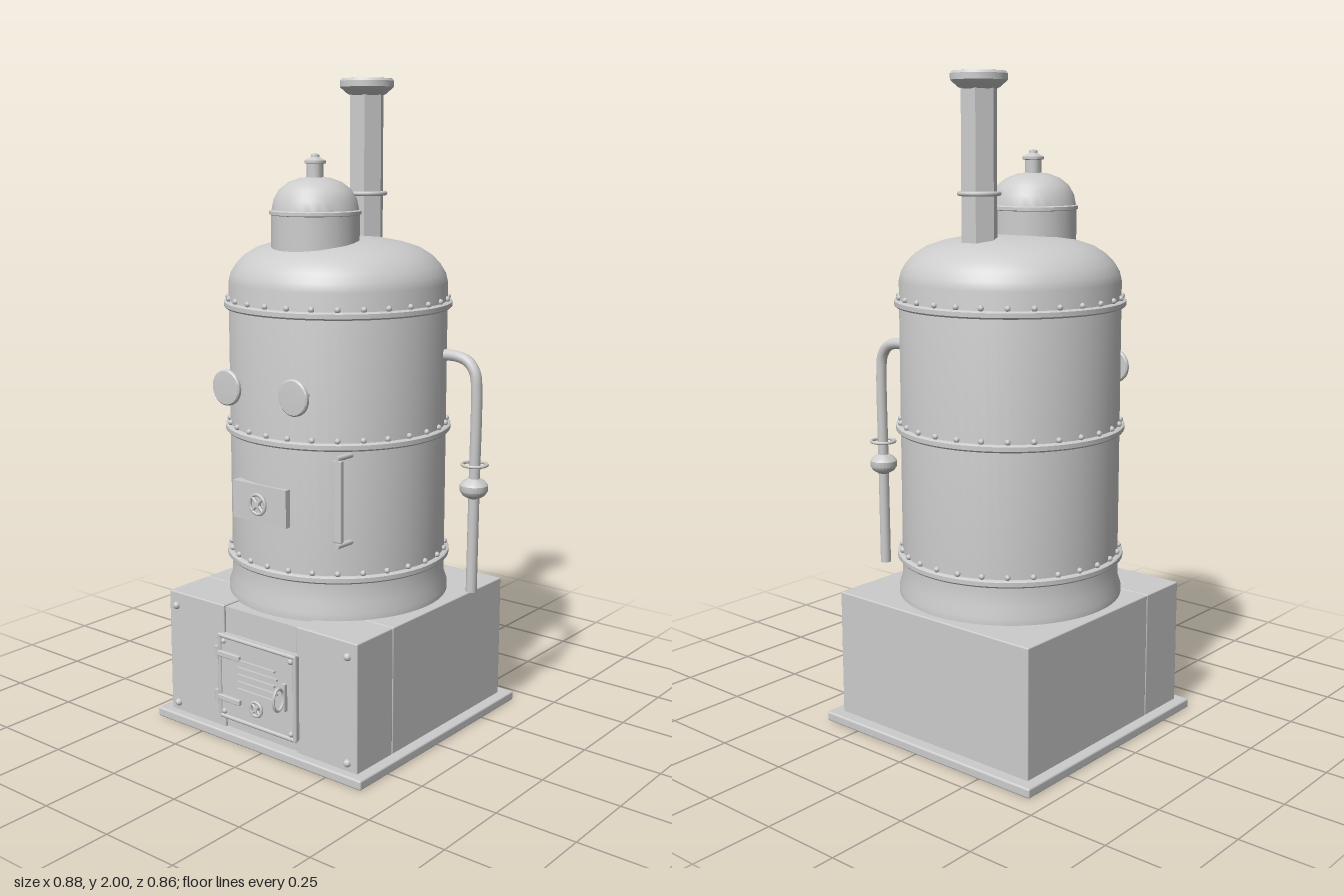
import * as THREE from 'three';
import { RoundedBoxGeometry } from 'three/addons/geometries/RoundedBoxGeometry.js';
import { toCreasedNormals } from 'three/addons/utils/BufferGeometryUtils.js';

const CX = -0.03, CZ = -0.025, R = 0.335; // boiler axis and radius

export function createModel() {
  const root = new THREE.Group();
  root.name = 'steamBoiler';
  const iron = new THREE.MeshStandardMaterial({ color: 0xcccccc, side: THREE.DoubleSide });
  iron.name = 'light grey iron';

  const add = (name, geo, x = 0, y = 0, z = 0, parent = root) => {
    const m = new THREE.Mesh(geo, iron);
    m.name = name;
    m.position.set(x, y, z);
    parent.add(m);
    return m;
  };
  // box given by its limits
  const box = (name, x0, x1, y0, y1, z0, z1, bevel = 0) => {
    const s = [x1 - x0, y1 - y0, z1 - z0];
    const g = bevel ? new RoundedBoxGeometry(...s, 2, bevel) : new THREE.BoxGeometry(...s);
    return add(name, g, (x0 + x1) / 2, (y0 + y1) / 2, (z0 + z1) / 2);
  };
  // lathe with [radius, height] pairs
  const lathe = (name, pts, x, z, sides = 48, crease = 0.6) => add(name, toCreasedNormals(
    new THREE.LatheGeometry(pts.map(p => new THREE.Vector2(...p)), sides), crease), x, 0, z);
  // round rod between two points
  const rod = (name, a, b, r, sides = 12) => {
    const p = new THREE.Vector3(...a), q = new THREE.Vector3(...b);
    const m = add(name, new THREE.CylinderGeometry(r, r, p.distanceTo(q), sides));
    m.position.copy(p).add(q).multiplyScalar(0.5);
    m.quaternion.setFromUnitVectors(new THREE.Vector3(0, 1, 0), q.sub(p).normalize());
    return m;
  };
  // small spoked hand wheel facing the front
  const wheel = (name, x, y, z, r) => {
    const g = new THREE.Group();
    g.name = name;
    g.position.set(x, y, z);
    root.add(g);
    add('wheelRim', new THREE.TorusGeometry(r, 0.005, 8, 24), 0, 0, 0, g);
    for (const a of [Math.PI / 4, -Math.PI / 4])
      add('wheelSpoke', new THREE.CylinderGeometry(0.005, 0.005, 2 * r, 8), 0, 0, 0, g).rotation.z = a;
    add('wheelHub', new THREE.CylinderGeometry(0.008, 0.008, 0.024, 12), 0, 0, -0.006, g).rotation.x = Math.PI / 2;
  };

  // Plinth
  box('basePlate', -0.44, 0.382, 0, 0.03, -0.435, 0.387, 0.006);
  box('rearPlinth', -0.405, 0.347, 0.025, 0.425, -0.397, 0.188, 0.004);
  box('frontPlinthRight', -0.405, -0.17, 0.025, 0.425, 0.188, 0.358, 0.004);
  box('frontPlinthLeft', 0.12, 0.347, 0.025, 0.425, 0.188, 0.358, 0.004);
  box('frontPlinthCentre', -0.17, 0.12, 0.025, 0.42, 0.188, 0.35);
  const stud = new THREE.SphereGeometry(0.012, 10, 8);
  for (const x of [-0.375, 0.312]) for (const y of [0.055, 0.38]) add('plinthStud', stud, x, y, 0.358);

  // Boiler shell with flared foot and domed top
  lathe('boilerShell', [
    [0.346, 0.42], [0.346, 0.445], [0.336, 0.475], [R, 0.54], [R, 1.395], [0.329, 1.42], [0.313, 1.447],
    [0.288, 1.473], [0.253, 1.495], [0.205, 1.511], [0.145, 1.523], [0.075, 1.529], [0, 1.531],
  ], CX, CZ, 64);

  // Riveted bands
  const rivet = new THREE.SphereGeometry(0.009, 8, 6);
  for (const y of [0.55, 0.95, 1.33]) {
    lathe('boilerBand', [[R - 0.005, y - 0.012], [0.345, y - 0.012], [0.35, y - 0.007], [0.35, y + 0.006],
      [0.344, y + 0.01], [R - 0.005, y + 0.01]], CX, CZ, 64);
    for (let i = 0; i < 28; i++) {
      const a = i / 28 * Math.PI * 2;
      add('rivet', rivet, CX + 0.337 * Math.sin(a), y + 0.017, CZ + 0.337 * Math.cos(a));
    }
  }

  // Steam dome and its knob
  lathe('steamDome', [[0.132, 1.47], [0.132, 1.6], [0.137, 1.602], [0.137, 1.612], [0.13, 1.615],
    [0.124, 1.645], [0.108, 1.673], [0.08, 1.695], [0.045, 1.708], [0, 1.712]], CX, 0.083);
  lathe('domeKnob', [[0.025, 1.7], [0.025, 1.748], [0.032, 1.75], [0.032, 1.758], [0.013, 1.768],
    [0.012, 1.776], [0, 1.78]], CX, 0.083, 20);

  // Hexagonal chimney with a flared cap and a hexagonal mouth
  const CHZ = -0.165;
  const hex = add('chimneyPipe', toCreasedNormals(
    new THREE.CylinderGeometry(0.055, 0.055, 0.475, 6), 0.3), CX, 1.7375, CHZ);
  hex.rotation.y = Math.PI / 6;
  add('chimneyRing', new THREE.TorusGeometry(0.058, 0.007, 8, 32), CX, 1.655, CHZ).rotation.x = Math.PI / 2;
  lathe('chimneyFlare', [[0.05, 1.95], [0.06, 1.955], [0.075, 1.968], [0.083, 1.975], [0.083, 1.993],
    [0.078, 2]], CX, CHZ, 32);
  const rim = new THREE.Shape().absarc(0, 0, 0.078, 0, Math.PI * 2);
  const mouth = [0, 1, 2, 3, 4, 5].map(i => new THREE.Vector2(0.055, 0).rotateAround(new THREE.Vector2(), i * Math.PI / 3));
  rim.holes.push(new THREE.Path(mouth));
  add('chimneyRim', new THREE.ExtrudeGeometry(rim, { depth: 0.025, bevelEnabled: false, curveSegments: 32 }),
    CX, 2, CHZ).rotation.x = Math.PI / 2;

  // Side pipe with valve bulb
  const PZ = -0.152;
  const path = new THREE.CatmullRomCurve3([[0.27, 1.181], [0.33, 1.18], [0.367, 1.168], [0.392, 1.135],
    [0.398, 1.08], [0.396, 0.8], [0.393, 0.455]].map(p => new THREE.Vector3(p[0], p[1], PZ)), false, 'centripetal');
  add('sidePipe', new THREE.TubeGeometry(path, 48, 0.017, 12));
  add('sidePipeEnd', new THREE.CircleGeometry(0.017, 12), 0.393, 0.455, PZ).rotation.x = Math.PI / 2;
  lathe('pipeBulb', [[0.016, 0.752], [0.034, 0.762], [0.043, 0.776], [0.043, 0.794], [0.034, 0.805],
    [0.016, 0.815]], 0.395, PZ, 24);
  add('pipeWheel', new THREE.TorusGeometry(0.038, 0.005, 8, 28), 0.396, 0.857, PZ).rotation.x = Math.PI / 2;

  // Two round gauges on short stems
  for (const x of [-0.16, 0.1]) {
    rod('gaugeStem', [x, 1.1, 0.26], [x, 1.1, 0.335], 0.01);
    const g = lathe('gauge', [[0, -0.008], [0.05, -0.008], [0.054, -0.004], [0.054, 0.004], [0.05, 0.008], [0, 0.01]], x, 0.338, 32);
    g.position.y = 1.1;
    g.rotation.x = Math.PI / 2;
  }

  // Inspection hatch
  box('hatch', -0.16, 0.05, 0.7, 0.815, 0.27, 0.319);
  wheel('hatchWheel', -0.055, 0.757, 0.326, 0.03);

  // Level glass on two brackets
  box('levelGlass', 0.19, 0.22, 0.675, 0.92, 0.26, 0.274, 0.003);
  for (const y of [0.664, 0.925]) rod('levelBracket', [0.205, y, 0.19], [0.205, y, 0.274], 0.008);

  // Fire door with raised border, vents, hinges, wheel and ring handle
  box('fireDoor', -0.18, 0.13, 0.07, 0.338, 0.345, 0.372, 0.004);
  for (const y of [0.074, 0.334]) rod('doorBorder', [-0.18, y, 0.371], [0.13, y, 0.371], 0.007, 8);
  for (const x of [-0.176, 0.126]) rod('doorBorder', [x, 0.07, 0.371], [x, 0.338, 0.371], 0.007, 8);
  for (const x of [-0.16, 0.11]) for (const y of [0.09, 0.318]) add('doorStud', rivet, x, y, 0.372);
  for (let i = 0; i < 5; i++)
    box('doorVent', -0.1, i % 2 ? 0.06 : 0.05, 0.176 + i * 0.023, 0.182 + i * 0.023, 0.37, 0.38);
  for (const y of [0.135, 0.277]) {
    box('hingeStrap', -0.185, -0.09, y - 0.009, y + 0.009, 0.368, 0.382, 0.003);
    rod('hingePin', [-0.185, y - 0.02, 0.374], [-0.185, y + 0.02, 0.374], 0.01);
  }
  wheel('doorWheel', -0.022, 0.135, 0.38, 0.022);
  box('handlePlate', 0.08, 0.096, 0.16, 0.245, 0.37, 0.384);
  const handle = add('doorHandle', new THREE.TorusGeometry(0.034, 0.005, 8, 24), 0.088, 0.203, 0.403);
  handle.rotation.y = Math.PI / 2;
  handle.scale.x = 0.65;

  return root;
}
